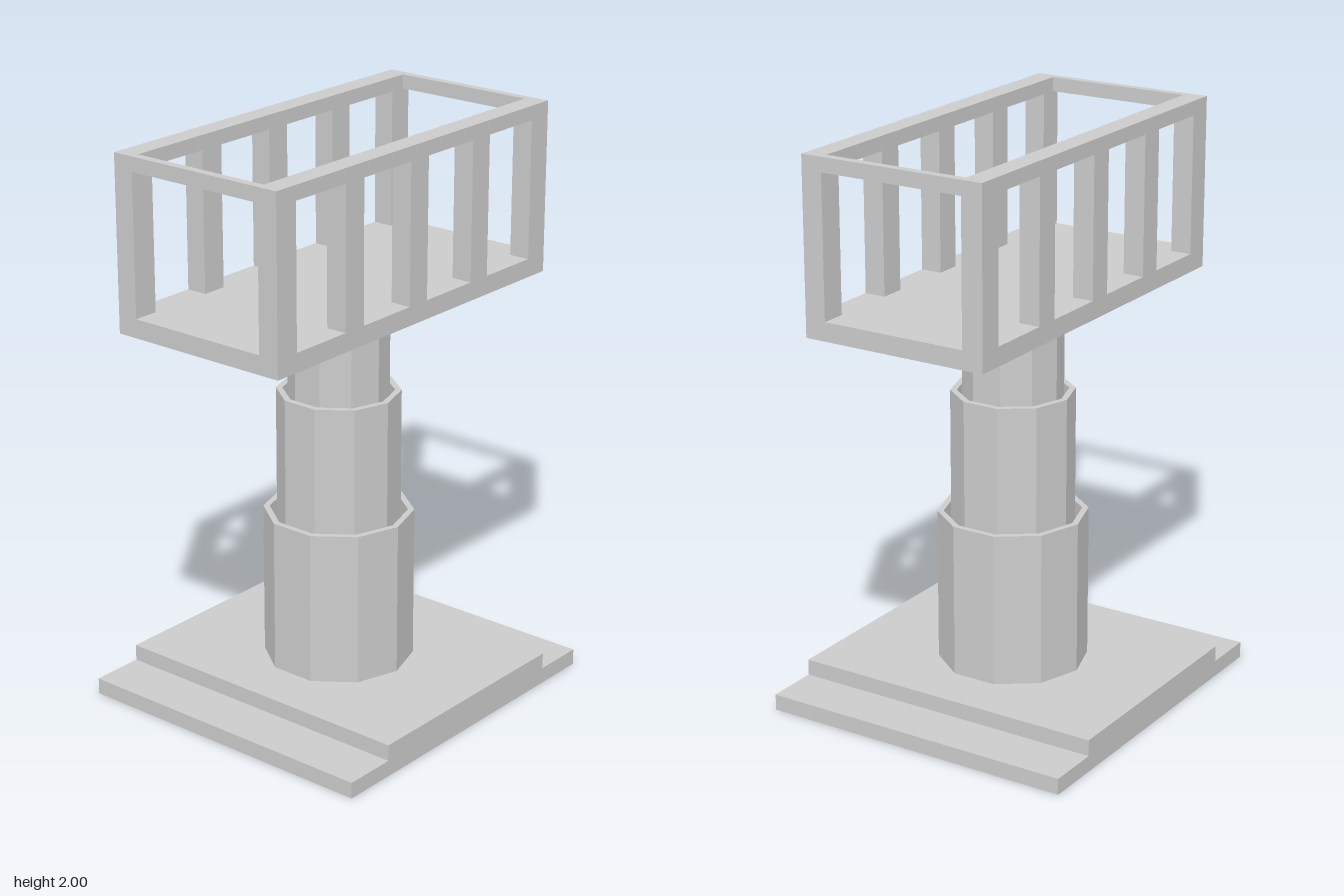
import * as THREE from 'three';

const material = new THREE.MeshStandardMaterial({ color: 0xcccccc, flatShading: true });

export function createModel() {
  const model = new THREE.Group();
  model.name = 'telescopicLift';

  // Box given by its centre in x and z, its bottom and top in y
  const box = (parent, name, w, d, y0, y1, x = 0, z = 0) => {
    const mesh = new THREE.Mesh(new THREE.BoxGeometry(w, y1 - y0, d), material);
    mesh.position.set(x, (y0 + y1) / 2, z);
    mesh.name = name;
    parent.add(mesh);
  };

  // Stepped base
  box(model, 'basePlate', 1.236, 1.136, 0, 0.057);
  box(model, 'baseStep', 0.86, 1.136, 0.057, 0.114);

  // Telescoping column: ten-sided hollow tubes, each sunk into the one below
  const column = new THREE.Group();
  column.name = 'column';
  model.add(column);
  const wall = 0.022;
  const tubes = [
    ['lowerTube', 0.259, 0.114, 0.655],
    ['middleTube', 0.212, 0.114, 1.09],
    ['upperTube', 0.172, 0.114, 1.4],
  ];
  for (const [name, r, y0, y1] of tubes) {
    const profile = [[r, y0], [r, y1], [r - wall, y1], [r - wall, y0], [r, y0]]
      .map(([x, y]) => new THREE.Vector2(x, y));
    const tube = new THREE.Mesh(new THREE.LatheGeometry(profile, 10), material);
    tube.name = name;
    column.add(tube);
  }

  // Platform with an open railing cage
  const cage = new THREE.Group();
  cage.name = 'cage';
  model.add(cage);
  const W = 1.386, D = 0.67, floorTop = 1.465, railY = 1.95, top = 2;
  const post = 0.09, railD = 0.075, endW = 0.03;
  box(cage, 'platformFloor', W, D, 1.4, floorTop);
  for (const s of [-1, 1]) {
    const z = s * (D - railD) / 2;
    box(cage, 'sideRail', W, railD, railY, top, 0, z);
    box(cage, 'endRail', endW, D - 2 * railD, railY, top, s * (W - endW) / 2, 0);
    for (let i = -2; i <= 2; i++) {
      box(cage, 'post', post, railD, floorTop, railY, i * (W - post) / 4, z);
    }
  }

  return model;
}
